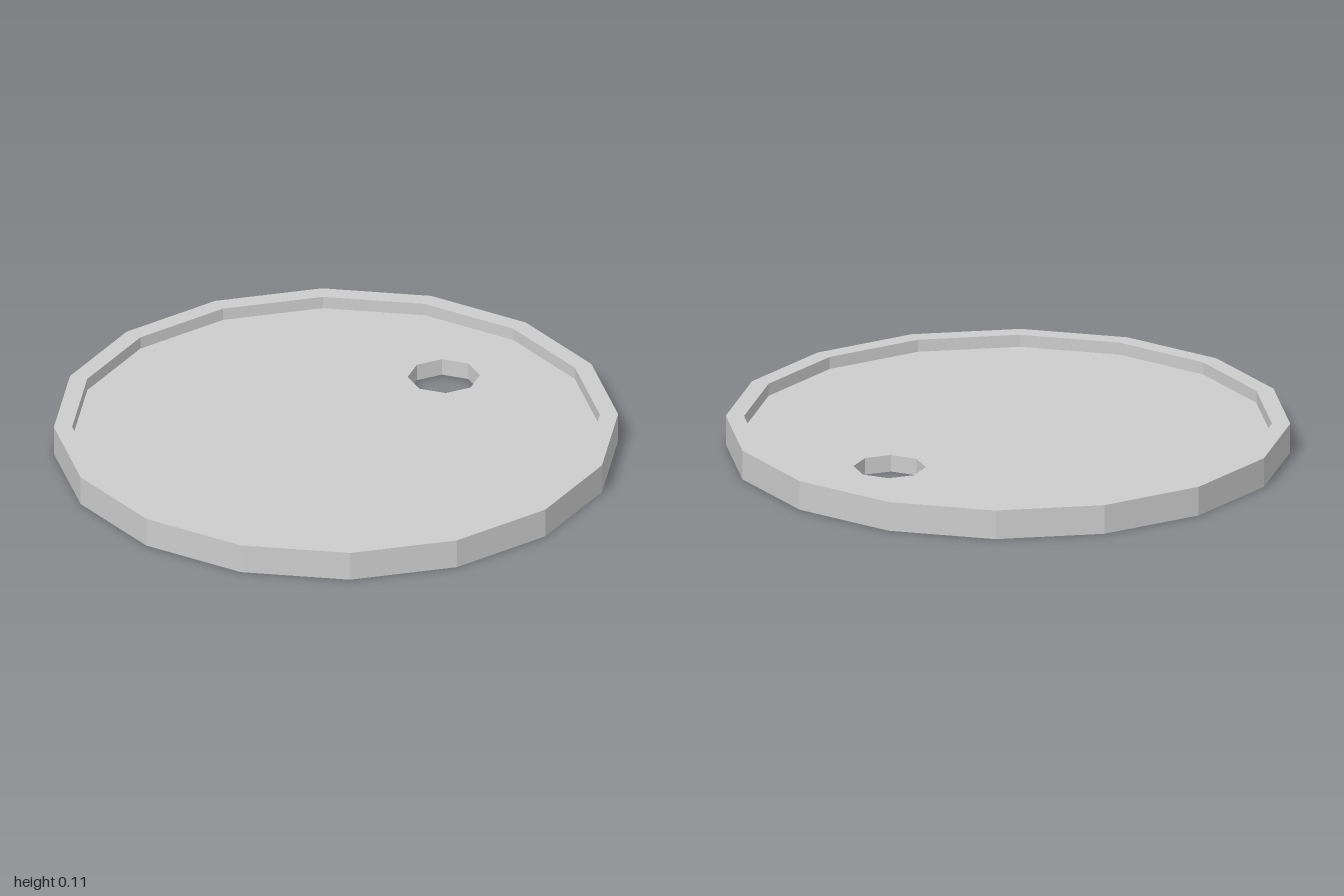
import * as THREE from 'three';

const SIDES = 16, OUTER = 1, INNER = 0.935, HEIGHT = 0.107, FLOOR = 0.062;
const HOLE_SIDES = 8, HOLE_R = 0.128, HOLE_Z = -0.568;

// Regular polygon as a list of 2D points
function polygon(sides, radius, cy = 0) {
  return Array.from({ length: sides }, (_, i) => {
    const a = (i / sides) * Math.PI * 2;
    return new THREE.Vector2(Math.cos(a) * radius, cy + Math.sin(a) * radius);
  });
}

// Horizontal pierced plate, facing up (+1) or down (-1)
function plate(radius, y, facing) {
  const shape = new THREE.Shape(polygon(SIDES, radius));
  shape.holes.push(new THREE.Path(polygon(HOLE_SIDES, HOLE_R, -HOLE_Z * facing)));
  return new THREE.ShapeGeometry(shape).rotateX(-facing * Math.PI / 2).translate(0, y, 0);
}

// Faceted ring swept from [radius, y] pairs
function ring(points, sides) {
  return new THREE.LatheGeometry(points.map(([r, y]) => new THREE.Vector2(r, y)), sides);
}

export function createModel() {
  const metal = new THREE.MeshStandardMaterial({ color: 0xcccccc, flatShading: true });
  metal.name = 'light grey metal';

  const group = new THREE.Group();
  group.name = 'tag';
  const add = (name, geometry) => {
    const mesh = new THREE.Mesh(geometry, metal);
    mesh.name = name;
    group.add(mesh);
  };

  // Outer wall, flat lip and inner wall of the raised edge
  add('rim', ring([[OUTER, 0], [OUTER, HEIGHT], [INNER, HEIGHT], [INNER, FLOOR]], SIDES));
  // Recessed face and underside
  add('recessedFace', plate(INNER, FLOOR, 1));
  add('underside', plate(OUTER, 0, -1));
  // Inward-facing wall of the hanging hole
  add('holeWall', ring([[HOLE_R, FLOOR], [HOLE_R, 0]], HOLE_SIDES).translate(0, 0, HOLE_Z));

  return group;
}
